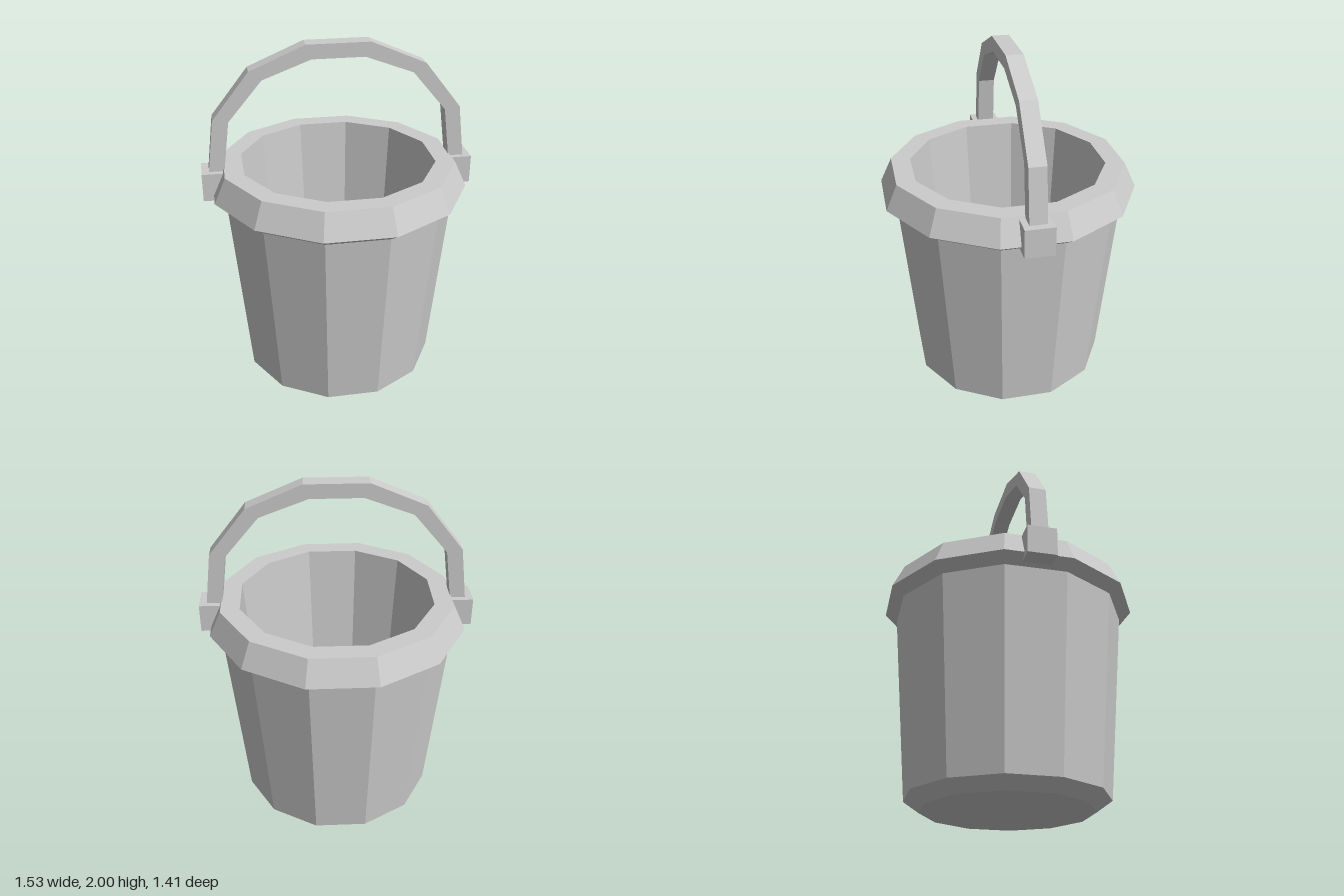
import * as THREE from 'three';

export function createModel() {
  const group = new THREE.Group();
  const material = new THREE.MeshStandardMaterial({ color: 0xcccccc, flatShading: true });
  const add = (name, geometry) => {
    const mesh = new THREE.Mesh(geometry, material);
    mesh.name = name;
    group.add(mesh);
    return mesh;
  };

  // Twelve-sided bucket: base bevel, tapered wall, flared rim, inner wall and floor.
  // Radii are measured to the flats, then scaled out to the corners.
  const sides = 12;
  const toCorner = 1 / Math.cos(Math.PI / sides);
  const profile = [
    [0, 0], [0.46, 0], [0.543, 0.06], [0.638, 1.14], [0.705, 1.187],
    [0.641, 1.328], [0.535, 1.328], [0.445, 0.09], [0, 0.09],
  ].map(([r, y]) => new THREE.Vector2(r * toCorner, y));
  add('bucket', new THREE.LatheGeometry(profile, sides, Math.PI / sides));

  // Arched carrying handle with a square section
  const outer = [[0.735, 1.22], [0.685, 1.61], [0.48, 1.87], [0.175, 2]];
  const inner = [[0.65, 1.22], [0.6, 1.597], [0.412, 1.82], [0.145, 1.92]];
  const mirrored = (points) => points.map(([x, y]) => [-x, y]).reverse();
  const outline = [
    ...outer, ...mirrored(outer),
    ...mirrored(inner).reverse(), ...[...inner].reverse(),
  ].map(([x, y]) => new THREE.Vector2(x, y));
  const depth = 0.094;
  const arch = new THREE.ExtrudeGeometry(new THREE.Shape(outline), { depth, bevelEnabled: false });
  arch.translate(0, 0, -depth / 2);
  add('handle', arch);

  // Blocks joining the handle to the rim
  for (const [name, side] of [['leftHandleBlock', 1], ['rightHandleBlock', -1]]) {
    add(name, new THREE.BoxGeometry(0.123, 0.16, 0.16)).position.set(side * 0.7025, 1.235, 0);
  }

  return group;
}
